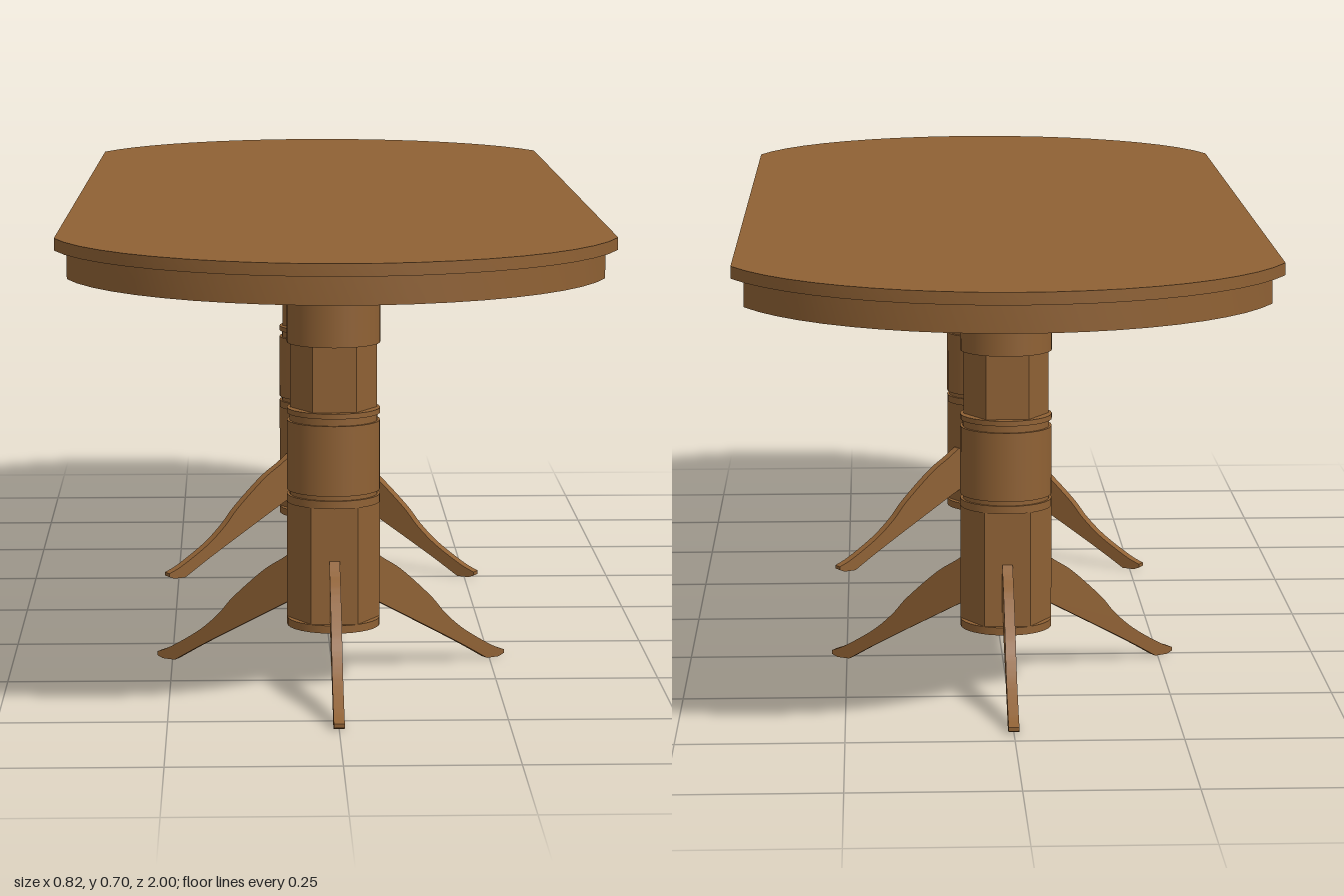
import * as THREE from 'three';
import { toCreasedNormals } from 'three/addons/utils/BufferGeometryUtils.js';

const wood = new THREE.MeshStandardMaterial({ color: 0x8f6134 });
wood.name = 'wood';
const lining = new THREE.MeshStandardMaterial({ color: 0xc8c8c8 });
lining.name = 'grey lining';

const TOP = 0.705, APRON_TOP = 0.687, APRON_BOTTOM = 0.645;

function add(parent, name, geometry, material = wood) {
  const mesh = new THREE.Mesh(geometry, material);
  mesh.name = name;
  parent.add(mesh);
  return mesh;
}

// Table outline in (x, z), moved inwards by d: two round ends and slightly tapered sides
function outline(d) {
  const points = [];
  const arc = (cx, cz, r, x0, x1, sign) => {
    const a0 = Math.asin((x0 - cx) / r), a1 = Math.asin((x1 - cx) / r);
    for (let i = 0; i <= 20; i++) {
      const a = a0 + (a1 - a0) * i / 20;
      points.push(new THREE.Vector2(cx + r * Math.sin(a), cz + sign * r * Math.cos(a)));
    }
  };
  arc(0, 0.575, 0.425 - d, 0.408 - d, -0.411 + d, 1);
  arc(0.01, -0.567, 0.433 - d, -0.39 + d, 0.408 - d, -1);
  return points;
}

const quad = (d) => [[0.37 - d, 0.69 - d], [-0.374 + d, 0.69 - d], [-0.355 + d, -0.715 + d], [0.37 - d, -0.715 + d]]
  .map(([x, z]) => new THREE.Vector2(x, z));

// Horizontal slab between two heights, with an optional hole
function slab(points, bottom, top, hole) {
  const shape = new THREE.Shape(points);
  if (hole) shape.holes.push(new THREE.Path(hole));
  const geometry = new THREE.ExtrudeGeometry(shape, { depth: top - bottom, bevelEnabled: false });
  geometry.rotateX(Math.PI / 2).translate(0, top, 0);
  return toCreasedNormals(geometry, 0.25);
}

// Upright board cut from a side profile, centred on its thickness
function board(shape, width) {
  return toCreasedNormals(
    new THREE.ExtrudeGeometry(shape, { depth: width, bevelEnabled: false, curveSegments: 8 })
      .translate(0, 0, -width / 2), 0.4);
}

function legGeometry() {
  const v = (list) => list.map(([x, y]) => new THREE.Vector2(x, y));
  const shape = new THREE.Shape();
  shape.moveTo(0.05, 0.128);
  shape.lineTo(0.05, 0.198);
  shape.lineTo(0.064, 0.198);
  shape.splineThru(v([[0.085, 0.183], [0.12, 0.16], [0.173, 0.113], [0.2, 0.083], [0.235, 0.053], [0.285, 0.022], [0.312, 0.01]]));
  shape.lineTo(0.312, 0.004);
  shape.lineTo(0.302, 0);
  shape.lineTo(0.28, 0);
  shape.splineThru(v([[0.24, 0.024], [0.196, 0.049], [0.14, 0.08], [0.08, 0.113], [0.05, 0.128]]));
  return board(shape, 0.016);
}

function pedestal(name, z, turn) {
  const group = new THREE.Group();
  group.name = name;
  group.position.z = z;
  group.rotation.y = turn;

  // Column: name, radius, bottom, top, sides
  const sections = [
    ['columnFoot', 0.071, 0.088, 0.1, 32],
    ['lowerHexagon', 0.071, 0.1, 0.28, 6],
    ['lowerRing', 0.071, 0.28, 0.292, 32],
    ['lowerGroove', 0.067, 0.292, 0.299, 32],
    ['drum', 0.071, 0.299, 0.406, 32],
    ['upperGroove', 0.067, 0.406, 0.417, 32],
    ['upperRing', 0.071, 0.417, 0.425, 32],
    ['upperHexagon', 0.066, 0.425, 0.525, 6],
    ['columnHead', 0.071, 0.525, APRON_BOTTOM, 32],
    ['columnSocket', 0.071, APRON_BOTTOM, APRON_TOP - 0.002, 32],
  ];
  for (const [part, r, bottom, top, sides] of sections) {
    let geometry = new THREE.CylinderGeometry(r, r, top - bottom, sides);
    if (sides === 6) geometry = toCreasedNormals(geometry.rotateY(Math.PI / 2), 0.3);
    geometry.translate(0, (bottom + top) / 2, 0);
    add(group, part, geometry, part === 'columnSocket' ? lining : wood);
  }

  // Three curved legs, one on every second face of the hexagon
  const geometry = legGeometry();
  for (let i = 0; i < 3; i++) {
    add(group, 'leg', geometry).rotation.y = i * Math.PI * 2 / 3 - Math.PI / 2;
  }
  return group;
}

export function createModel() {
  const table = new THREE.Group();
  table.name = 'table';

  // Top and the apron below its edge
  add(table, 'tableTop', slab(outline(0), APRON_TOP, TOP));
  add(table, 'apron', slab(outline(0.018), APRON_BOTTOM, APRON_TOP, outline(0.034)));

  // Cross rails that close the lined middle off from the round ends
  for (const z of [0.699, -0.724]) {
    add(table, 'crossRail', new THREE.BoxGeometry(0.73, APRON_TOP - APRON_BOTTOM, 0.018)
      .translate(0.004, (APRON_TOP + APRON_BOTTOM) / 2, z));
  }

  // Grey lining: panel under the top and a thin frame inside the apron
  add(table, 'liningPanel', slab(quad(0), APRON_TOP - 0.003, APRON_TOP), lining);
  add(table, 'liningFrame', slab(quad(-0.002), APRON_BOTTOM + 0.001, APRON_TOP, quad(0.003)), lining);

  table.add(pedestal('frontPedestal', 0.495, 0), pedestal('backPedestal', -0.4, Math.PI));

  // Stretcher between the pedestals, scalloped along its lower edge
  const z0 = -0.35, z1 = 0.445, steps = 48;
  const shape = new THREE.Shape();
  shape.moveTo(z0, 0.21);
  for (let i = 0; i <= steps; i++) {
    const t = i / steps;
    shape.lineTo(z0 + (z1 - z0) * t, 0.15 - 0.005 * Math.cos(t * Math.PI * 8));
  }
  shape.lineTo(z1, 0.21);
  add(table, 'stretcher', board(shape, 0.02).rotateY(-Math.PI / 2));

  return table;
}
